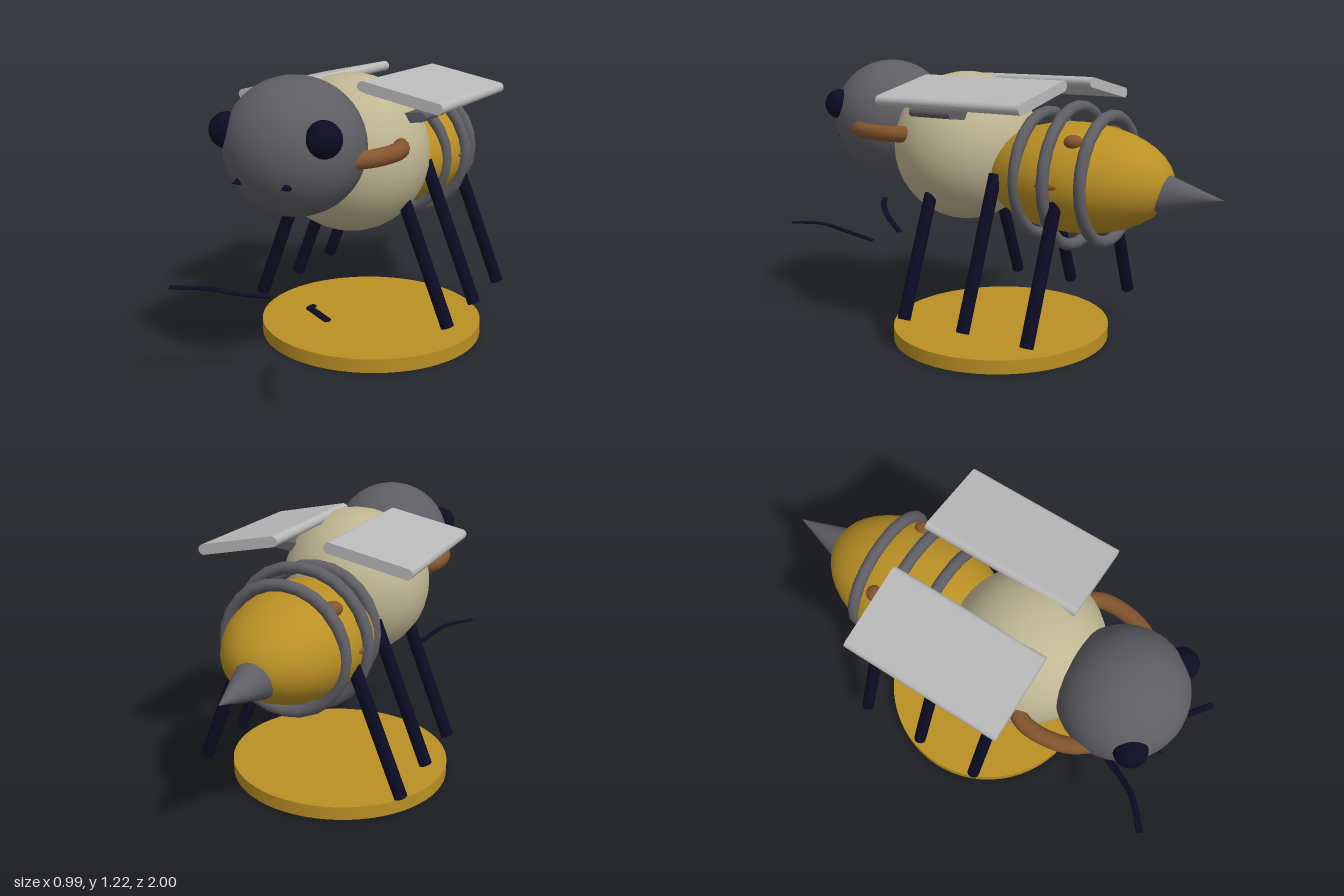
import * as THREE from 'three';

const mat = (name, color, side = THREE.FrontSide) => {
  const m = new THREE.MeshStandardMaterial({ color, side });
  m.name = name;
  return m;
};

export function createModel() {
  const gold = mat('gold', 0xba9024);
  const cream = mat('cream', 0xc0b693);
  const grey = mat('dark grey', 0x5e5e64);
  const navy = mat('dark navy', 0x0c0c24, THREE.DoubleSide);
  const brown = mat('brown', 0x84552f);
  const silver = mat('wing silver', 0xb9b9b9);

  const model = new THREE.Group();
  model.name = 'bee';
  const V = (x, y, z) => new THREE.Vector3(x, y, z);
  const add = (name, geometry, material, x = 0, y = 0, z = 0) => {
    const mesh = new THREE.Mesh(geometry, material);
    mesh.name = name;
    mesh.position.set(x, y, z);
    model.add(mesh);
    return mesh;
  };
  const ellipsoid = (name, material, pos, radii, seg = 40) => {
    const mesh = add(name, new THREE.SphereGeometry(1, seg, seg / 2), material, ...pos);
    mesh.scale.set(...radii);
    return mesh;
  };

  // Round bar between two points
  const rod = (name, a, b, r, material) => {
    const dir = b.clone().sub(a);
    const mesh = add(name, new THREE.CylinderGeometry(r, r, dir.length(), 16), material);
    mesh.position.copy(a).lerp(b, 0.5);
    mesh.quaternion.setFromUnitVectors(V(0, 1, 0), dir.normalize());
  };

  // Slab with rounded long edges, running along z between two edge centres
  const slab = (name, x0, y0, x1, y1, r, z0, z1, material) => {
    const half = Math.hypot(x1 - x0, y1 - y0) / 2;
    const shape = new THREE.Shape();
    shape.absarc(half, 0, r, -Math.PI / 2, Math.PI / 2);
    shape.absarc(-half, 0, r, Math.PI / 2, Math.PI * 1.5);
    const geo = new THREE.ExtrudeGeometry(shape, { depth: z1 - z0, bevelEnabled: false, curveSegments: 8 });
    add(name, geo, material, (x0 + x1) / 2, (y0 + y1) / 2, z0).rotation.z = Math.atan2(y1 - y0, x1 - x0);
  };

  // Display disc
  add('base', new THREE.CylinderGeometry(0.497, 0.497, 0.06, 64), gold, 0, 0.03, 0.02).scale.z = 0.97;

  // Body
  ellipsoid('head', grey, [0, 0.954, 0.633], [0.272, 0.264, 0.264]);
  ellipsoid('thorax', cream, [0, 0.85, 0.2], [0.33, 0.33, 0.325]);
  ellipsoid('abdomen', gold, [0, 0.76, -0.36], [0.28, 0.23, 0.42]);
  add('stinger', new THREE.ConeGeometry(0.085, 0.255, 32).rotateX(-Math.PI / 2), grey, 0, 0.73, -0.868);

  // Abdomen rings
  [[-0.21, 0.26], [-0.36, 0.29], [-0.51, 0.26]].forEach(([z, r]) =>
    add('abdomenRing', new THREE.TorusGeometry(r, 0.025, 12, 24), grey, 0, 0.765, z));

  // Paired parts
  for (const s of [1, -1]) {
    const side = s > 0 ? 'left' : 'right';
    ellipsoid(side + 'Eye', navy, [s * 0.204, 1.02, 0.773], [0.068, 0.069, 0.068], 24);
    add(side + 'Nostril', new THREE.ConeGeometry(0.016, 0.05, 12).rotateX(Math.PI / 2), navy, s * 0.102, 0.856, 0.873);

    // Neck arm curving from head to thorax
    const armPath = new THREE.CatmullRomCurve3([
      V(s * 0.235, 0.921, 0.64), V(s * 0.29, 0.921, 0.56), V(s * 0.315, 0.921, 0.44), V(s * 0.305, 0.921, 0.36), V(s * 0.25, 0.921, 0.28)]);
    add(side + 'Arm', new THREE.TubeGeometry(armPath, 24, 0.035, 12), brown);

    // Wing and its hinge
    const [a, b] = s > 0 ? [0.122, 0.4425] : [-0.4425, -0.122];
    const [ya, yb] = s > 0 ? [1.145, 1.079] : [1.079, 1.145];
    slab(side + 'Wing', a, ya, b, yb, 0.022, -0.36, 0.332, silver);
    const [c, d] = s > 0 ? [0.15, 0.335] : [-0.335, -0.15];
    const [yc, yd] = s > 0 ? [1.005, 1.028] : [1.028, 1.005];
    slab(side + 'WingHinge', c, yc, d, yd, 0.02, 0.04, 0.245, grey);

    // Abdomen spots
    ellipsoid(side + 'UpperSpot', brown, [s * 0.176, 0.932, -0.435], [0.037, 0.03, 0.04], 20);
    ellipsoid(side + 'SideSpot', brown, [s * 0.272, 0.762, -0.365], [0.015, 0.014, 0.055], 16);

    // Legs
    for (const z of [0.215, -0.09, -0.395])
      rod(side + 'Leg', V(s * 0.212, 0.775, z), V(s * 0.456, 0.157, z), 0.028, navy);

    // Flattened feeler, squashed in height
    const flat = 0.4;
    const feelerPath = new THREE.CatmullRomCurve3([
      V(s * 0.1, 0.357, 0.695), V(s * 0.165, 0.405, 0.82), V(s * 0.225, 0.44, 0.9), V(s * 0.335, 0.457, 0.99),
    ].map(p => p.setY(p.y / flat)));
    add(side + 'Feeler', new THREE.TubeGeometry(feelerPath, 24, 0.015, 8), navy).scale.y = flat;
  }
  return model;
}
